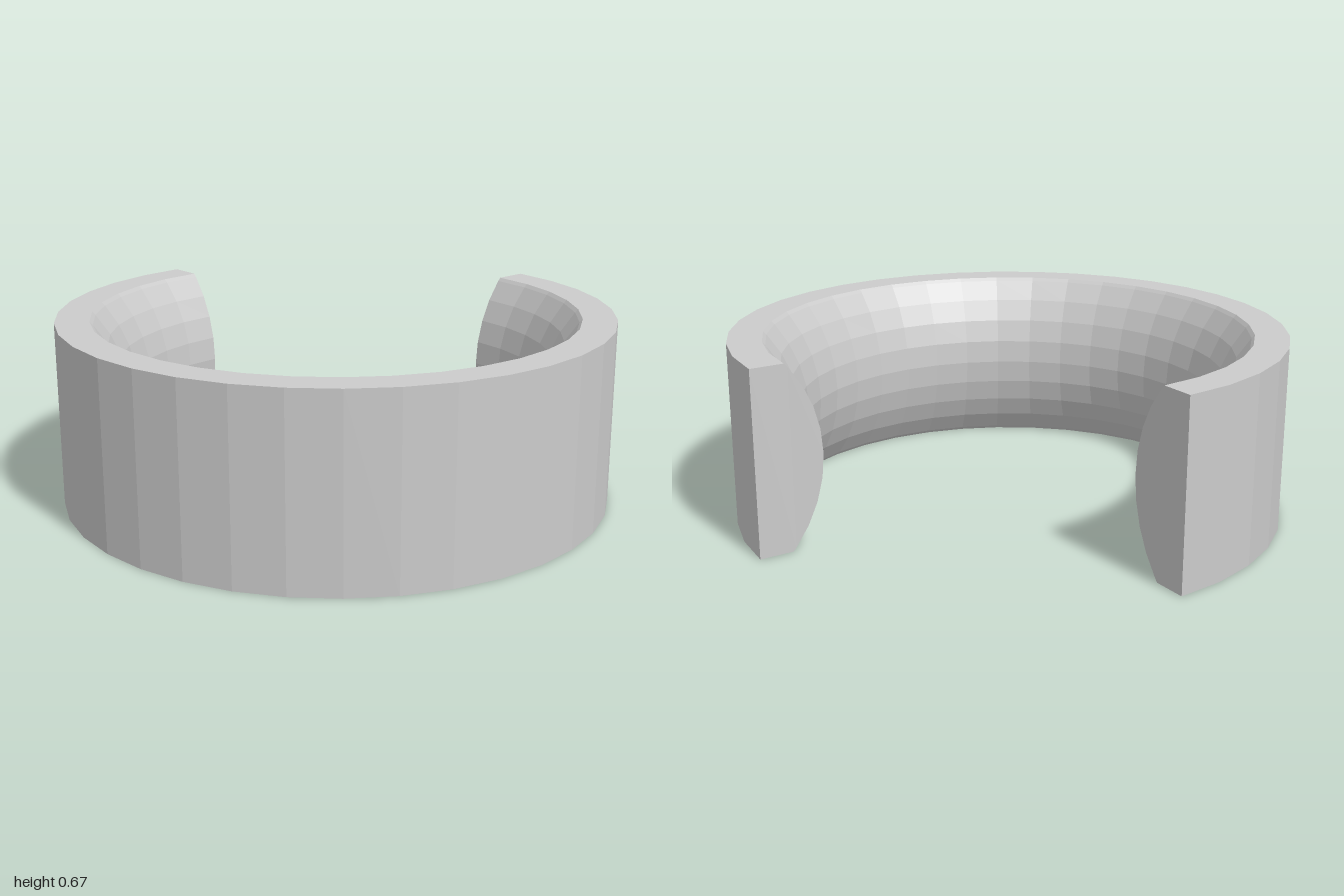
import * as THREE from 'three';

const HEIGHT = 2 / 3;
const MID = HEIGHT / 2;
const OUTER = 1;
const STEP = Math.PI / 18; // 10 degree facets

// Closed cross-section (radius, height): straight outside, bulging inside
function ringProfile() {
  const rim = 0.878;
  const points = [
    new THREE.Vector2(rim, 0),
    new THREE.Vector2(OUTER, 0),
    new THREE.Vector2(OUTER, HEIGHT),
    new THREE.Vector2(rim, HEIGHT),
  ];
  // concave groove of radius 0.5 centred at radius 1.25
  for (let i = 4; i >= -4; i--) {
    const a = i * STEP;
    points.push(new THREE.Vector2(1.25 - 0.5 * Math.cos(a), MID + 0.5 * Math.sin(a)));
  }
  points.push(points[0].clone());
  return points;
}

export function createModel() {
  const group = new THREE.Group();
  group.name = 'openRing';
  const material = new THREE.MeshStandardMaterial({ color: 0xcccccc, flatShading: true });
  const profile = ringProfile();

  // Three-quarter ring, open at the back left
  const ring = new THREE.Mesh(
    new THREE.LatheGeometry(profile, 27, Math.PI, Math.PI * 1.5), material);
  ring.name = 'ringBody';
  group.add(ring);

  // Flat cut ends; mirroring the outline turns the face the other way
  const addEnd = (name, mirror, angle) => {
    const outline = profile.slice(0, -1).map((p) => new THREE.Vector2(p.x * mirror, p.y));
    const end = new THREE.Mesh(new THREE.ShapeGeometry(new THREE.Shape(outline)), material);
    end.name = name;
    end.rotation.y = angle;
    group.add(end);
  };
  addEnd('backCutEnd', 1, Math.PI / 2);
  addEnd('leftCutEnd', -1, Math.PI);

  return group;
}
